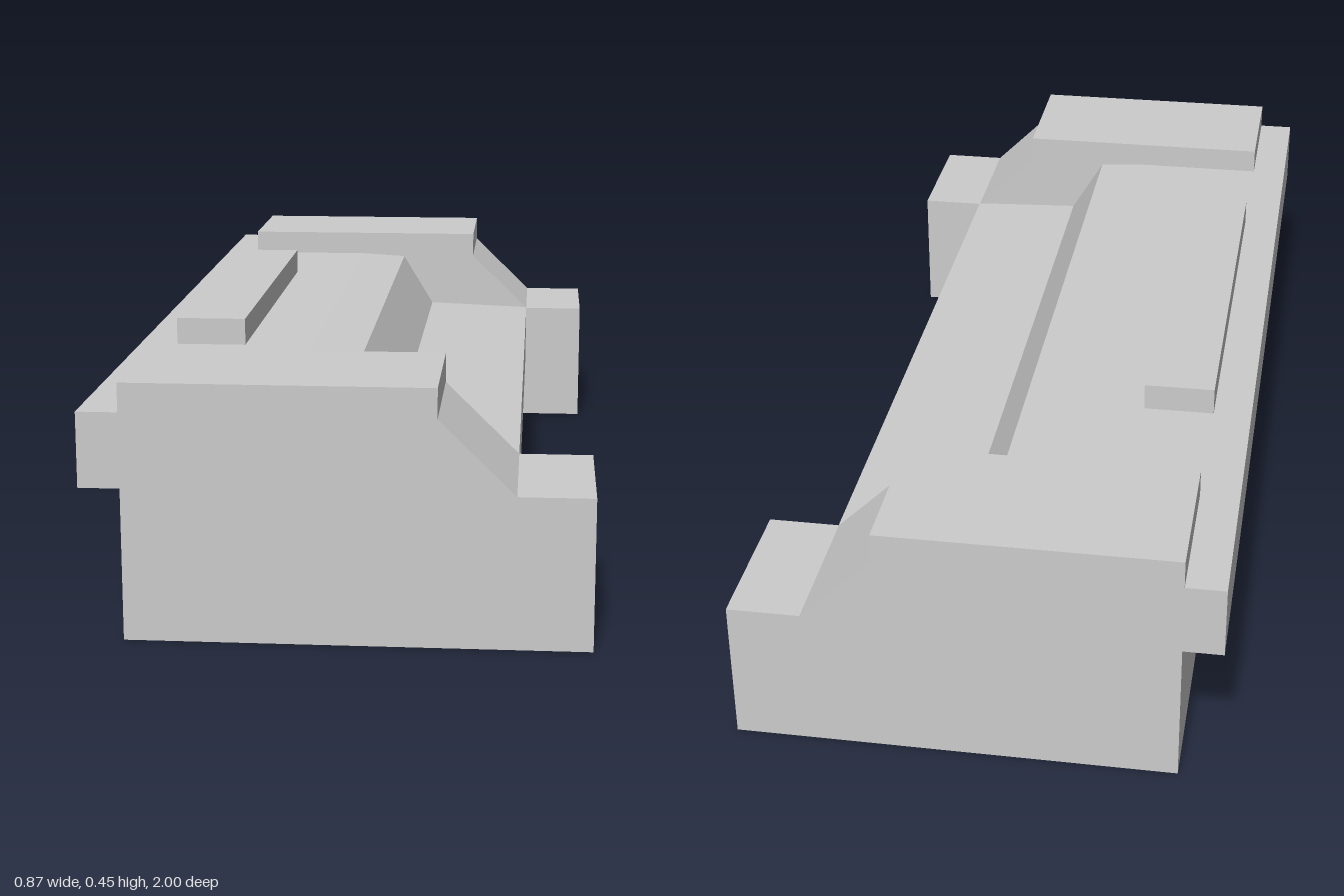
import * as THREE from 'three';

const material = new THREE.MeshStandardMaterial({ color: 0xcccccc, flatShading: true });

// Extrudes an (x, y) profile along z, from z0 to z1
function prism(name, points, z0, z1) {
  const shape = new THREE.Shape(points.map(([x, y]) => new THREE.Vector2(x, y)));
  const geometry = new THREE.ExtrudeGeometry(shape, { depth: z1 - z0, bevelEnabled: false });
  geometry.translate(0, 0, z0);
  const mesh = new THREE.Mesh(geometry, material);
  mesh.name = name;
  return mesh;
}

export function createModel() {
  const group = new THREE.Group();
  group.name = 'steppedBase';
  const inner = 0.715;

  // Back edge with the overhanging ledge, shared by all sections (top to bottom)
  const ledge = [[-0.437, 0.4], [-0.437, 0.268], [-0.365, 0.268]];

  // Middle section: deck, steep step, shelf and the undercut beneath it
  group.add(prism('middleBody', [
    [-0.365, 0], [0.04, 0], [0.04, 0.14], [0.303, 0.14], [0.303, 0.27],
    [0.07, 0.279], [0, 0.394], [-0.1, 0.4], ...ledge,
  ], -inner, inner));

  // End blocks with raised pad, sloped shoulder and low foot
  const endProfile = [
    [-0.365, 0], [0.435, 0], [0.435, 0.268], [0.303, 0.268], [0.17, 0.398],
    [0.17, 0.451], [-0.365, 0.451], [-0.365, 0.4], ...ledge,
  ];
  group.add(prism('frontEndBlock', endProfile, inner, 1));
  group.add(prism('backEndBlock', endProfile, -1, -inner));

  // Raised bar on the deck
  const bar = new THREE.Mesh(new THREE.BoxGeometry(0.133, 0.051, 0.855), material);
  bar.name = 'deckBar';
  bar.position.set(-0.2985, 0.4255, 0);
  group.add(bar);

  return group;
}
